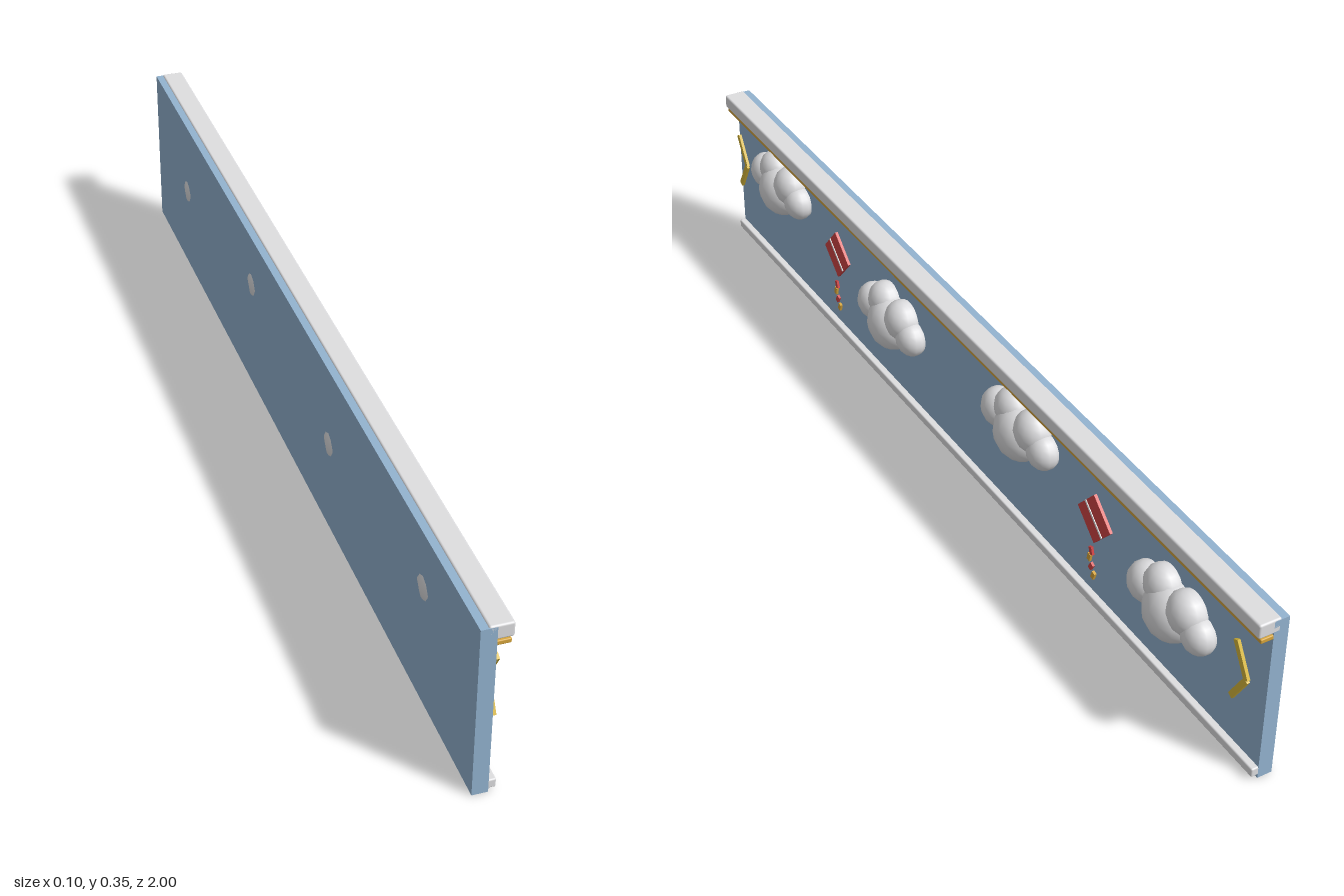
import * as THREE from 'three';
import { RoundedBoxGeometry } from 'three/addons/geometries/RoundedBoxGeometry.js';

const mat = (name, color) => {
  const m = new THREE.MeshStandardMaterial({ color });
  m.name = name;
  return m;
};

export function createModel() {
  const blue = mat('sky blue', 0x93b3d0);
  const white = mat('white', 0xdedee0);
  const gold = mat('gold', 0xd6a53c);
  const yellow = mat('yellow', 0xd8b83c);
  const red = mat('red', 0xd04444);

  const root = new THREE.Group();
  root.name = 'wallPanel';

  const add = (parent, name, geometry, material, x, y, z) => {
    const mesh = new THREE.Mesh(geometry, material);
    mesh.name = name;
    mesh.position.set(x, y, z);
    parent.add(mesh);
    return mesh;
  };
  const group = (name, y, z) => {
    const g = new THREE.Group();
    g.name = name;
    g.position.set(0, y, z);
    root.add(g);
    return g;
  };

  // Backing board and the long trims
  add(root, 'board', new THREE.BoxGeometry(0.029, 0.349, 2), blue, -0.03, 0.1745, 0);
  add(root, 'topRail', new RoundedBoxGeometry(0.044, 0.029, 2, 2, 0.004), white, -0.008, 0.3375, 0);
  add(root, 'goldTrim', new RoundedBoxGeometry(0.026, 0.009, 2, 2, 0.002), gold, -0.004, 0.316, 0);
  add(root, 'bottomRail', new RoundedBoxGeometry(0.017, 0.018, 2, 2, 0.003), white, -0.0105, 0.016, 0);

  // Clouds: puffs as [z, y, radius]
  const puffs = [
    [0.076, 0.008, 0.04], [0.028, 0.038, 0.04], [0, 0, 0.058],
    [-0.045, 0.03, 0.043], [-0.08, 0.006, 0.036],
  ];
  for (const [z, y] of [[0.75, 0.238], [0.25, 0.186], [-0.25, 0.238], [-0.75, 0.186]]) {
    const cloud = group('cloud', y, z);
    for (const [dz, dy, r] of puffs) {
      const puff = add(cloud, 'puff', new THREE.SphereGeometry(r, 14, 10), white, 0, dy, dz);
      puff.scale.x = 0.86;
    }
  }

  // Kites with a white cross bar and a tail of ribbons
  const ribbons = [
    [0.006, -0.078, 0.3], [0.011, -0.096, -0.2], [0.004, -0.113, -0.5], [-0.004, -0.129, -0.3],
  ];
  for (const z of [0.5, -0.5]) {
    const kite = group('kite', 0.206, z);
    const sail = add(kite, 'sail', new THREE.BoxGeometry(0.006, 0.075, 0.075), red, -0.005, 0, 0);
    sail.rotation.x = Math.PI / 4 + 0.06;
    add(sail, 'bar', new THREE.BoxGeometry(0.002, 0.075, 0.005), white, 0.0035, 0, 0);
    ribbons.forEach(([dz, dy, turn], i) => {
      const piece = add(kite, 'ribbon', new THREE.BoxGeometry(0.005, 0.016, 0.009),
        i % 2 ? gold : red, -0.0045, dy, dz);
      piece.rotation.x = turn;
    });
  }

  // Chevrons near both ends, pointing to the back
  for (const z of [0.934, -0.964]) {
    const chevron = group('chevron', 0.2, z);
    for (const s of [1, -1]) {
      const arm = add(chevron, 'arm', new THREE.BoxGeometry(0.006, 0.072, 0.012), yellow,
        -0.001, s * 0.031, 0.018);
      arm.rotation.x = s * 0.52;
    }
  }
  return root;
}
